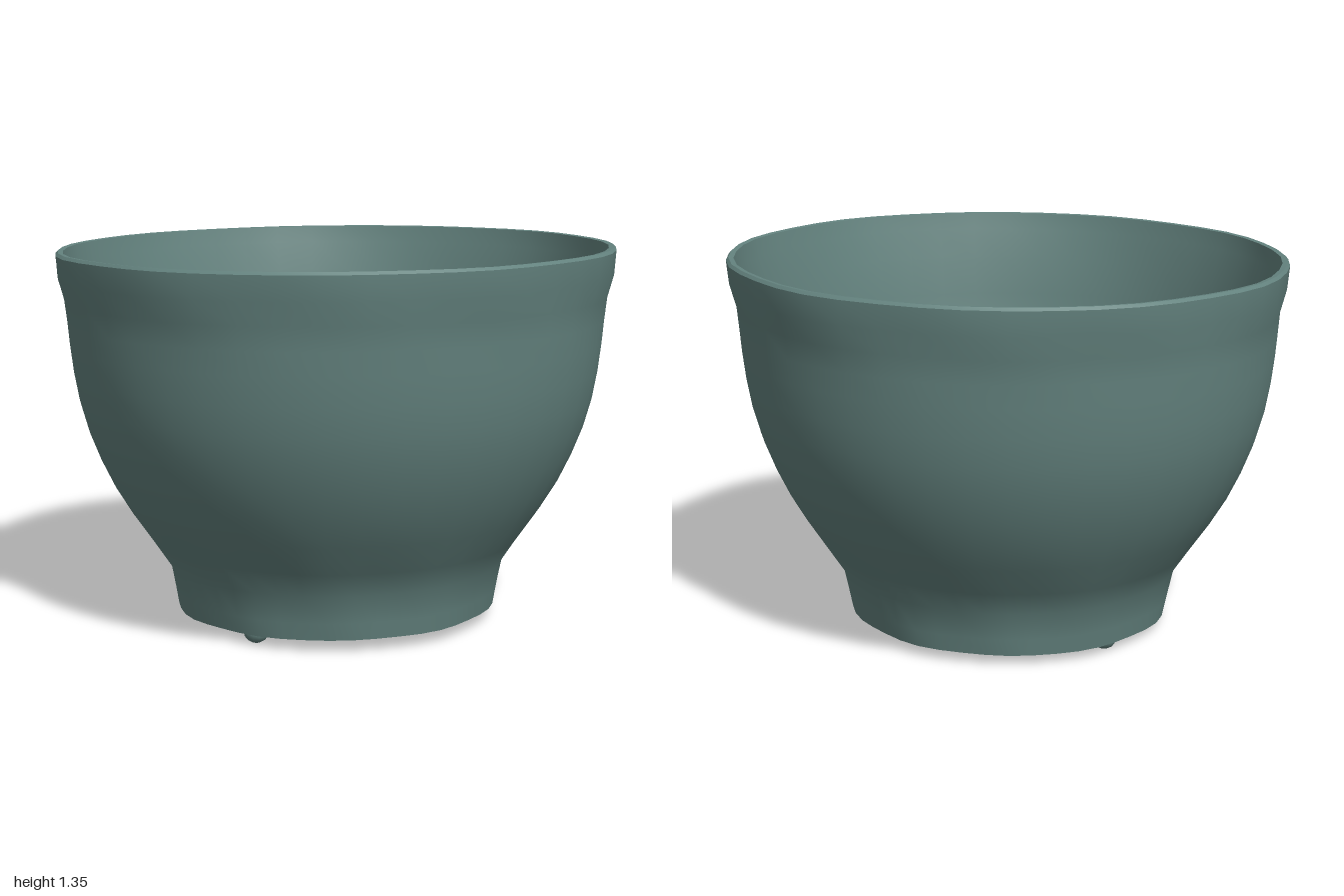
import * as THREE from 'three';
import { toCreasedNormals } from 'three/addons/utils/BufferGeometryUtils.js';

const SEGMENTS = 44;
const HOLE_RADIUS = 0.52; // distance of drain holes and feet from the axis
const HOLE_ANGLES = [20, 140, 260]; // degrees, from +x towards +z
const FOOT_ANGLES = [78, 198, 319];

const glaze = new THREE.MeshStandardMaterial({ color: 0x64837f });
glaze.name = 'grey green glaze';

const around = (deg, r) => {
  const a = THREE.MathUtils.degToRad(deg);
  return [Math.cos(a) * r, Math.sin(a) * r];
};

// Hand-made look: soft lumps by the rim and foot, and a slight lean
function handShape(geometry) {
  const p = geometry.attributes.position;
  const { smoothstep } = THREE.MathUtils;
  for (let i = 0; i < p.count; i++) {
    const x = p.getX(i), y = p.getY(i), z = p.getZ(i);
    const r = Math.hypot(x, z), a = Math.atan2(z, x);
    const rim = smoothstep(y, 1.05, 1.25);
    const foot = (1 - smoothstep(y, 0.15, 0.5)) * smoothstep(r, 0.5, 0.56);
    const lumps = 0.004 * Math.sin(7 * a + 4 * y) + 0.004 * Math.sin(11 * a - 6 * y);
    const k = 1 + lumps * (rim * 0.8 + foot * 1.3);
    p.setXYZ(i, x * k, y + 0.012 * x, z * k);
  }
  return toCreasedNormals(geometry, 0.75);
}

function part(name, geometry) {
  const mesh = new THREE.Mesh(geometry, glaze);
  mesh.name = name;
  return mesh;
}

function turned(name, profile) {
  const points = profile.map(([r, y]) => new THREE.Vector2(r, y));
  return part(name, handShape(new THREE.LatheGeometry(points, SEGMENTS)));
}

export function createModel() {
  const pot = new THREE.Group();
  pot.name = 'plantPot';

  // Wall: up the outside, over the rim and down the inside
  pot.add(turned('wall', [
    [0.545, 0.035], [0.578, 0.038], [0.59, 0.1], [0.61, 0.2], [0.67, 0.29],
    [0.745, 0.4], [0.805, 0.5], [0.853, 0.6], [0.892, 0.7], [0.92, 0.8],
    [0.938, 0.9], [0.95, 1.0], [0.957, 1.08], [0.966, 1.16], [0.988, 1.24],
    [0.994, 1.325], [0.985, 1.335], [0.967, 1.333], [0.955, 1.27],
    [0.927, 1.16], [0.908, 1.02], [0.888, 0.88], [0.857, 0.74],
    [0.81, 0.6], [0.745, 0.48], [0.67, 0.36], [0.6, 0.25],
    [0.565, 0.16], [0.54, 0.1],
  ]));

  // Raised floor with the central drain hole, hollow underneath
  pot.add(turned('raisedFloor', [
    [0.49, 0.1], [0.465, 0.12], [0.425, 0.21], [0.4, 0.235], [0.2, 0.24],
    [0.04, 0.235], [0.04, 0.19], [0.39, 0.19], [0.425, 0.165], [0.465, 0.07],
    [0.49, 0.035],
  ]));

  // Channel between floor and wall, pierced by three drain holes
  const ring = new THREE.Shape().absarc(0, 0, 0.56, 0, Math.PI * 2);
  ring.holes.push(new THREE.Path().absarc(0, 0, 0.475, 0, Math.PI * 2, true));
  for (const deg of HOLE_ANGLES) {
    const [x, z] = around(deg, HOLE_RADIUS);
    ring.holes.push(new THREE.Path().absarc(x, -z, 0.026, 0, Math.PI * 2, true));
  }
  const channel = new THREE.ExtrudeGeometry(ring, {
    depth: 0.065, bevelEnabled: false, curveSegments: SEGMENTS / 2,
  });
  channel.rotateX(-Math.PI / 2).translate(0, 0.036, 0);
  const p = channel.attributes.position;
  for (let i = 0; i < p.count; i++) p.setY(i, p.getY(i) + 0.012 * p.getX(i));
  channel.computeVertexNormals();
  pot.add(part('drainChannel', channel));

  // Three small feet under the ring
  for (const deg of FOOT_ANGLES) {
    const [x, z] = around(deg, 0.53);
    const foot = part('foot', new THREE.SphereGeometry(1, 12, 8));
    foot.scale.set(0.045, 0.042, 0.045);
    foot.position.set(x, 0.042, z);
    pot.add(foot);
  }
  return pot;
}
